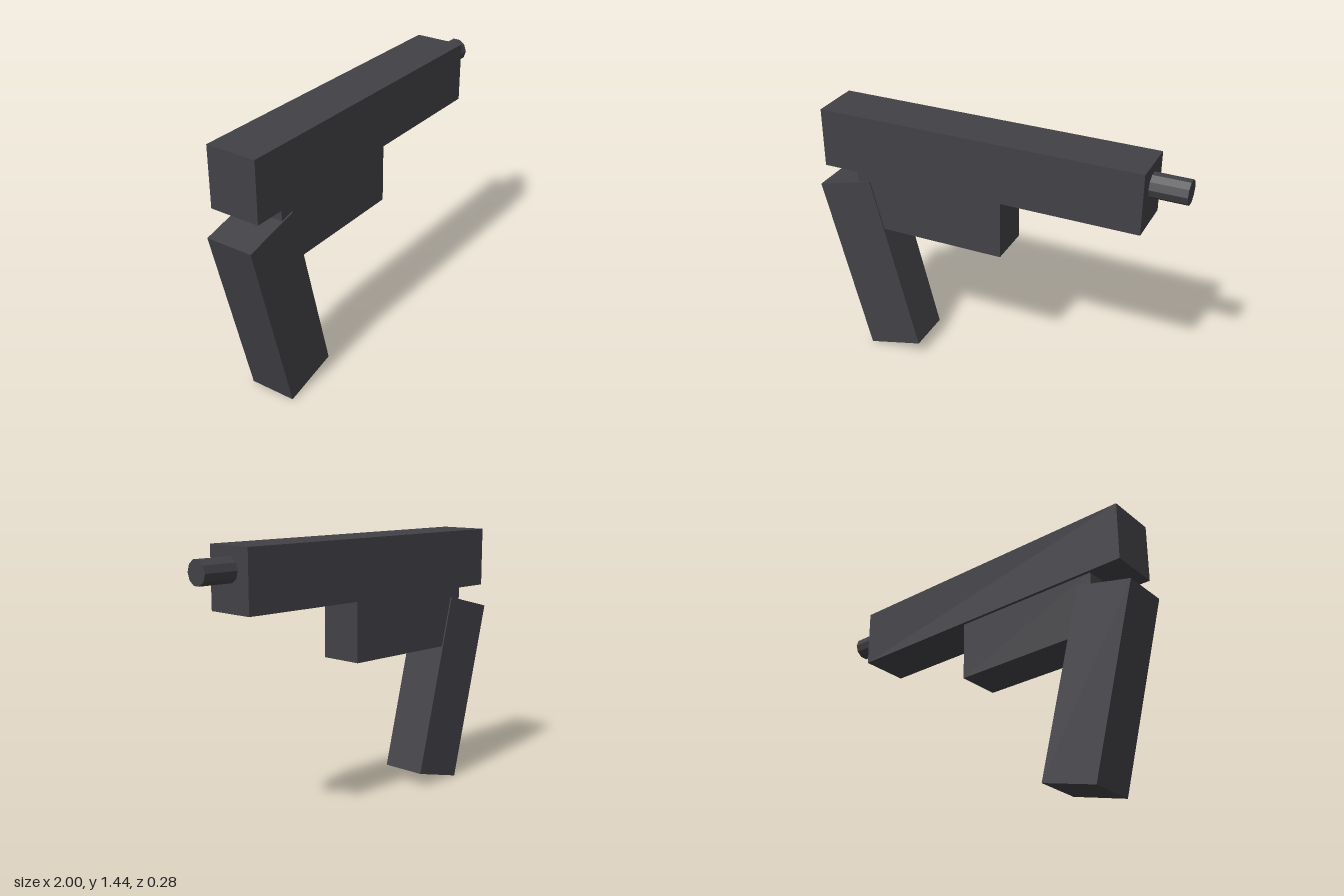
import * as THREE from 'three';

export function createModel() {
  const model = new THREE.Group();
  const darkGrey = new THREE.MeshStandardMaterial({ color: 0x424146 });
  darkGrey.name = 'darkGrey';
  darkGrey.flatShading = true;

  const add = (name, geometry, x, y, tilt = 0) => {
    const mesh = new THREE.Mesh(geometry, darkGrey);
    mesh.name = name;
    mesh.position.set(x, y, 0);
    mesh.rotation.z = tilt;
    model.add(mesh);
  };

  // Long upper body
  add('upperBody', new THREE.BoxGeometry(1.76, 0.322, 0.276), -0.07, 1.279);
  // Shorter block beneath it
  add('lowerBody', new THREE.BoxGeometry(0.835, 0.328, 0.242), -0.347, 0.957);
  // Raked handle
  add('grip', new THREE.BoxGeometry(0.32, 1.02, 0.258), -0.719, 0.534, 0.25);
  // Ten-sided barrel, its rear end sunk into the upper body
  add('barrel', new THREE.CylinderGeometry(0.064, 0.064, 0.24, 10), 0.88, 1.326, -Math.PI / 2);

  return model;
}
